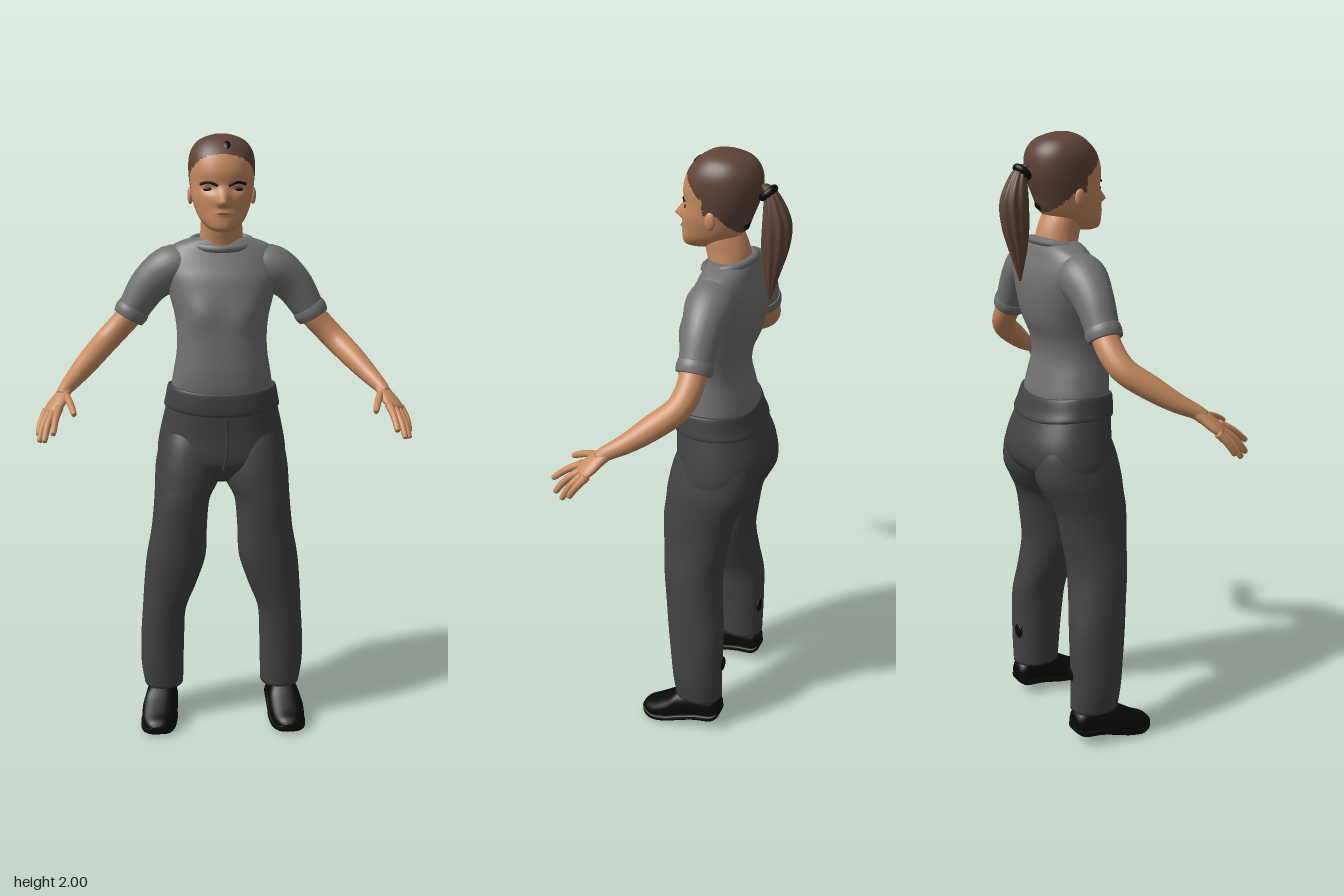
import * as THREE from 'three';

const V = (x, y, z) => new THREE.Vector3(x, y, z);
const Z = V(0, 0, 1), Y = V(0, 1, 0);

// Skin a smooth surface over elliptical sections [x, y, z, radius along ref, radius across].
// flat keeps every ring square to this axis; n is the roundness of the rings.
function loft(secs, { seg = 28, steps = 5, ref = Z, flat = null, n = 2, warp = null, ridge = 0, pick = null } = {}) {
  const cr = (a, b, c, d, t) => 0.5 * (2 * b + (c - a) * t + (2 * a - 5 * b + 4 * c - d) * t * t + (3 * b - a - 3 * c + d) * t * t * t);
  const at = i => secs[Math.min(Math.max(i, 0), secs.length - 1)];
  const rows = [];
  for (let i = 0; i < secs.length - 1; i++)
    for (let k = 0; k < steps; k++)
      rows.push(secs[0].map((_, d) => cr(at(i - 1)[d], at(i)[d], at(i + 1)[d], at(i + 2)[d], k / steps)));
  rows.push(at(secs.length));
  const ctr = rows.map(r => V(r[0], r[1], r[2])), pts = [], last = rows.length - 1;
  const pw = v => Math.sign(v) * Math.pow(Math.abs(v), 2 / n);
  rows.forEach((r, i) => {
    const T = flat ? flat.clone() : ctr[Math.min(i + 1, last)].clone().sub(ctr[Math.max(i - 1, 0)]).normalize();
    const u = ref.clone().addScaledVector(T, -ref.dot(T)).normalize(), v = T.clone().cross(u);
    for (let j = 0; j < seg; j++) {
      const a = j / seg * Math.PI * 2, s = 1 + ridge * Math.sin(a * 9 + i * 0.15);
      const p = ctr[i].clone().addScaledVector(u, pw(Math.cos(a)) * r[3] * s).addScaledVector(v, pw(Math.sin(a)) * r[4] * s);
      if (warp) warp(p);
      pts.push(p);
    }
  });
  pts.push(ctr[0], ctr[last]);
  const sets = [[], []], end = rows.length * seg;
  const tri = (a, b, c) => {
    const m = pts[a].clone().add(pts[b]).add(pts[c]).divideScalar(3);
    sets[pick && pick(m) ? 1 : 0].push(a, b, c);
  };
  for (let j = 0; j < seg; j++) {
    const k = (j + 1) % seg;
    for (let i = 0; i < last; i++) {
      const a = i * seg + j, b = i * seg + k;
      tri(a, b, a + seg);
      tri(b, b + seg, a + seg);
    }
    tri(end, k, j);
    tri(end + 1, last * seg + j, last * seg + k);
  }
  const g = new THREE.BufferGeometry().setFromPoints(pts);
  g.setIndex([...sets[0], ...sets[1]]);
  if (pick) {
    g.addGroup(0, sets[0].length, 0);
    g.addGroup(sets[0].length, sets[1].length, 1);
  }
  g.computeVertexNormals();
  return g;
}

// Upright body shapes from rows [y, inner x, outer x, front z, back z]
const upright = (rows, opt = {}) => loft(
  rows.map(([y, a, b, f, k]) => [(a + b) / 2, y, (f + k) / 2, (f - k) / 2, (b - a) / 2]),
  { flat: V(0, Math.sign(rows[1][0] - rows[0][0]), 0), seg: 40, ...opt });
const centred = (rows, opt) => upright(rows.map(([y, w, f, k]) => [y, -w, w, f, k]), opt);
const tube = (pts, r, closed = false) => new THREE.TubeGeometry(new THREE.CatmullRomCurve3(pts, closed), closed ? 48 : 16, r, 8, closed);
const blob = (x, y, z, sx, sy, sz, tilt = 0) => new THREE.SphereGeometry(1, 20, 14).scale(sx, sy, sz).rotateX(tilt).translate(x, y, z);
const gauss = (a, b) => Math.exp(-a * a - b * b);

function mirror(geo) {
  const g = geo.clone().applyMatrix4(new THREE.Matrix4().makeScale(-1, 1, 1)), ix = g.index.array;
  for (let i = 0; i < ix.length; i += 3) [ix[i], ix[i + 1]] = [ix[i + 1], ix[i]];
  return g;
}

export function createModel() {
  const root = new THREE.Group();
  const mat = (name, color) => Object.assign(new THREE.MeshStandardMaterial({ color }), { name });
  const skin = mat('skin', 0xc78b60), shirt = mat('shirt grey', 0x717171), cloth = mat('trouser grey', 0x424242);
  const hair = mat('hair brown', 0x5e4337), black = mat('black', 0x090909), lip = mat('lip', 0xb0764f);
  const add = (name, geo, m) => {
    const mesh = new THREE.Mesh(geo, m);
    mesh.name = name;
    root.add(mesh);
  };
  const pair = (name, geo, m) => {
    add('left' + name, geo, m);
    add('right' + name, mirror(geo), m);
  };

  // Head with nose, eye sockets and lips pushed into the front, hair on the scalp
  add('head', centred([
    [1.695, .02, .05, 0], [1.705, .045, .067, -.04], [1.73, .07, .07, -.095], [1.76, .085, .068, -.133],
    [1.8, .097, .067, -.15], [1.84, .103, .06, -.166], [1.88, .107, .062, -.178], [1.92, .106, .052, -.178],
    [1.95, .097, .035, -.168], [1.975, .078, .01, -.145], [1.99, .05, -.015, -.11], [1.998, .02, -.04, -.08],
  ], {
    seg: 96, steps: 6, n: 2.2,
    warp: p => {
      if (p.z < 0) return;
      const { x, y } = p, nose = y > 1.785 ? (1.84 - y) / .055 : 1 - (1.785 - y) / .014;
      p.z += .034 * Math.max(0, nose) * gauss(x / .016, 0) + .005 * gauss(x / .025, (y - 1.755) / .009)
        - .01 * gauss((Math.abs(x) - .042) / .02, (y - 1.83) / .012);
    },
    pick: ({ y, z }) => y > 1.94 || (y > 1.87 ? z < y - 1.89 : y > 1.82 ? z < -.03 : y > 1.745 && z < -.075 - (1.82 - y) * .9),
  }), [skin, hair]);
  pair('Ear', blob(.101, 1.806, -.055, .01, .028, .017), skin);
  pair('Eye', blob(.044, 1.828, .0415, .02, .0065, .0065), black);
  pair('Eyebrow', tube([V(.016, 1.839, .058), V(.045, 1.85, .051), V(.072, 1.844, .035)], .0045), black);
  add('lips', blob(0, 1.756, .071, .024, .006, .005), lip);
  add('neck', centred([[1.58, .095, -.02, -.155], [1.64, .076, -.02, -.152], [1.69, .069, -.008, -.146], [1.73, .067, 0, -.132], [1.77, .064, 0, -.11]]), skin);

  // Ponytail, hair tie and the dark patches in the hair
  add('ponytail', loft([
    [0, 1.905, -.19, .012, .012], [0, 1.875, -.212, .024, .026], [0, 1.8, -.228, .042, .041],
    [0, 1.72, -.226, .041, .038], [0, 1.64, -.218, .026, .025], [0, 1.55, -.212, .003, .003],
  ], { flat: V(0, -1, 0), seg: 54, ridge: .08 }), hair);
  add('hairTie', new THREE.TorusGeometry(.021, .012, 10, 24).rotateX(-.85).translate(0, 1.882, -.2), black);
  add('foreheadPatch', blob(.013, 1.963, .019, .012, .018, .006, -.8), black);
  add('napePatch', blob(.012, 1.778, -.136, .022, .014, .01), black);

  // Shirt
  add('shirtBody', centred([
    [1.13, .163, .06, -.16], [1.18, .168, .07, -.168], [1.24, .16, .073, -.155], [1.3, .15, .07, -.142],
    [1.36, .148, .066, -.15], [1.42, .155, .06, -.175], [1.48, .17, .05, -.187], [1.54, .184, .034, -.19],
    [1.58, .19, .014, -.184], [1.615, .187, -.004, -.172], [1.643, .163, -.017, -.162], [1.66, .128, -.025, -.153], [1.669, .095, -.03, -.148],
  ], {
    n: 2.3, seg: 56,
    warp: p => { if (p.z > 0) p.z += .01 * gauss((Math.abs(p.x) - .07) / .045, (p.y - 1.43) / .05); },
  }), shirt);
  const collar = [];
  for (let i = 0; i < 16; i++) {
    const a = i / 16 * Math.PI * 2, f = Math.sin(a);
    collar.push(V(.097 * Math.cos(a), 1.655 - .018 * f, -.082 + .074 * f));
  }
  add('collar', tube(collar, .013, true), shirt);
  pair('Sleeve', loft([
    [.09, 1.585, -.085, .06, .06], [.165, 1.57, -.085, .077, .075], [.235, 1.518, -.088, .063, .065],
    [.285, 1.445, -.09, .054, .054], [.305, 1.413, -.09, .052, .051],
  ]), shirt);
  pair('SleeveCuff', loft([[.288, 1.441, -.09, .055, .055], [.298, 1.425, -.09, .058, .057], [.308, 1.408, -.09, .055, .053]]), shirt);

  // Arms and hands
  pair('Arm', loft([
    [.27, 1.47, -.09, .04, .04], [.305, 1.415, -.09, .042, .042], [.35, 1.365, -.088, .041, .041],
    [.392, 1.322, -.068, .04, .04], [.437, 1.277, -.01, .039, .037], [.478, 1.235, .05, .031, .03],
    [.508, 1.205, .105, .024, .022], [.52, 1.188, .125, .024, .018],
  ]), skin);
  pair('Palm', loft([
    [.503, 1.21, .095, .02, .018], [.518, 1.188, .125, .03, .018], [.535, 1.165, .15, .037, .017],
    [.548, 1.148, .17, .036, .013], [.552, 1.142, .177, .025, .006],
  ], { ref: V(-.05, .01, .045).normalize() }), skin);
  const fingers = {
    IndexFinger: [[.522, 1.16, .18], [.53, 1.135, .228], [.535, 1.1, .272]],
    MiddleFinger: [[.538, 1.152, .17], [.555, 1.117, .217], [.564, 1.073, .252]],
    RingFinger: [[.553, 1.146, .16], [.572, 1.108, .197], [.582, 1.066, .222]],
    LittleFinger: [[.566, 1.146, .145], [.582, 1.113, .173], [.588, 1.08, .195]],
    Thumb: [[.508, 1.193, .12], [.487, 1.175, .185], [.473, 1.152, .233]],
  };
  for (const [name, p] of Object.entries(fingers)) {
    const tip = p[2].map((v, i) => v + (v - p[1][i]) * .1), r = [.013, .011, .009, .003];
    pair(name, loft([...p, tip].map((c, i) => [...c, r[i], r[i]]), { seg: 12, ref: V(1, 0, 0) }), skin);
  }

  // Trousers
  add('hips', centred([
    [1.16, .176, .074, -.172], [1.1, .191, .073, -.2], [1.03, .207, .071, -.227], [.97, .216, .073, -.229],
    [.93, .208, .068, -.205], [.895, .15, .045, -.155], [.865, .07, .01, -.09],
  ], { n: 2.3, seg: 56 }), cloth);
  const dip = p => { p.y -= .018 * (1 - Math.min(1, (p.x / .18) ** 2)); };
  add('waistband', centred([
    [1.193, .172, .071, -.17], [1.189, .18, .079, -.177], [1.15, .188, .081, -.19], [1.122, .193, .079, -.202], [1.116, .184, .07, -.19],
  ], { n: 2.3, seg: 56, warp: dip }), cloth);
  add('flySeam', tube([V(.008, 1.1, .076), V(.012, 1.03, .074), V(.008, .96, .075), V(0, .92, .066)], .005), cloth);
  add('waistButton', new THREE.CylinderGeometry(.011, .011, .008, 16).rotateX(Math.PI / 2).translate(.005, 1.135, .081), cloth);
  pair('TrouserLeg', upright([
    [1.07, .03, .185, .03, -.18], [1, .005, .207, .06, -.21], [.92, 0, .223, .077, -.212], [.86, .012, .227, .082, -.185],
    [.8, .042, .23, .085, -.156], [.7, .052, .24, .08, -.137], [.6, .057, .258, .073, -.122], [.5, .088, .268, .06, -.13],
    [.4, .125, .275, .048, -.145], [.3, .132, .282, .037, -.145], [.2, .135, .283, .028, -.143], [.12, .137, .272, .02, -.143],
  ], { n: 2.2 }), cloth);
  pair('CalfPatch', blob(.186, .252, -.14, .024, .027, .008), black);

  // Shoes, rows [z, bottom, top, half width, x]
  const shoe = [
    [-.14, .045, .105, .03, .205], [-.12, .035, .125, .045, .206], [-.06, .03, .135, .05, .21], [0, .016, .128, .054, .216],
    [.04, .008, .097, .059, .221], [.09, 0, .066, .054, .225], [.125, .002, .05, .037, .225], [.14, .01, .034, .017, .225],
  ];
  const along = (rows, n) => loft(rows.map(([z, b, t, w, x]) => [x, (b + t) / 2, z, (t - b) / 2, w]), { flat: Z, ref: Y, n });
  pair('Shoe', along(shoe, 2.5), black);
  pair('Sole', along(shoe.map(([z, b, , w, x]) => [z, b, b + .024, w + .004, x]), 4), black);
  return root;
}
